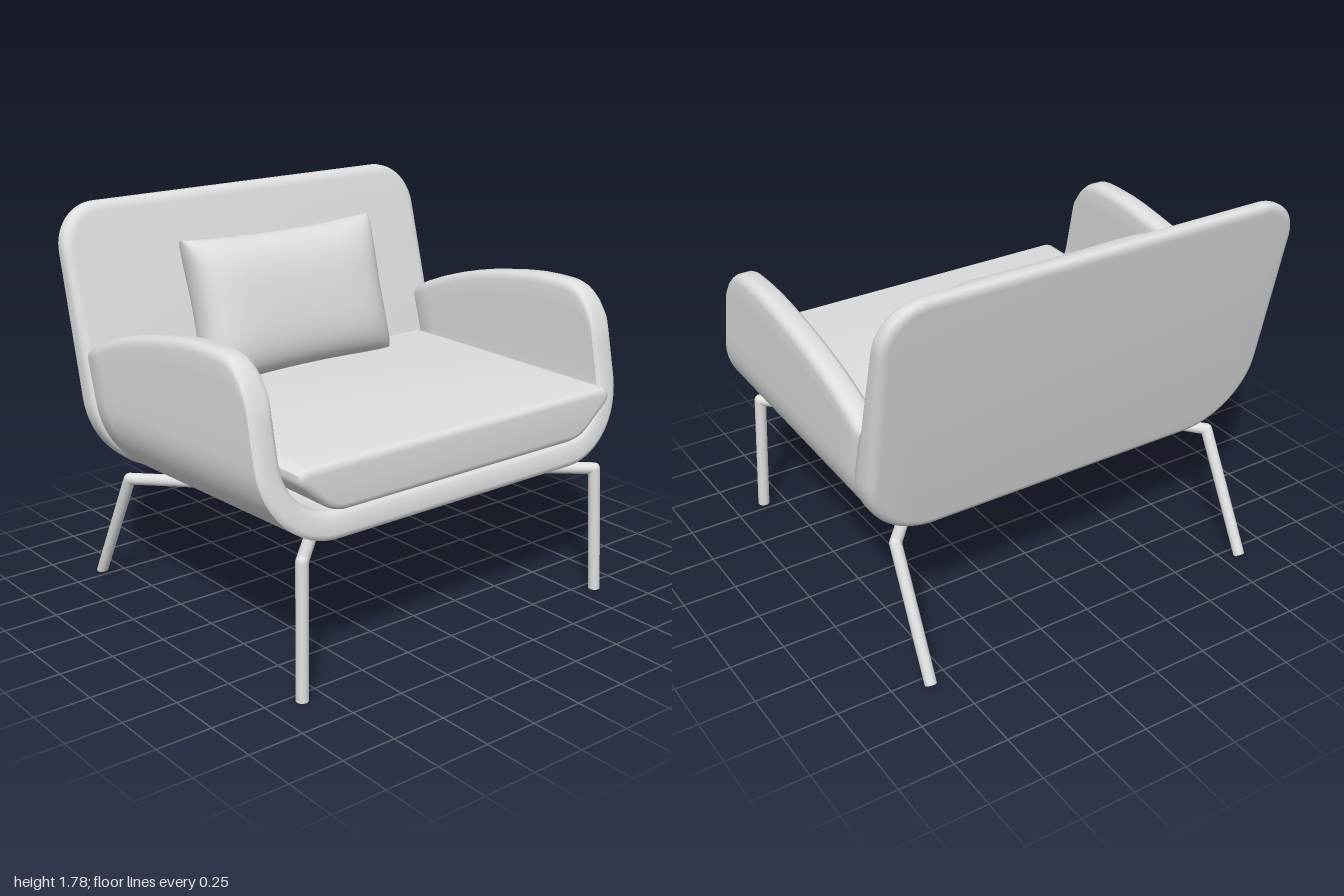
import * as THREE from 'three';
import { toCreasedNormals, mergeVertices } from 'three/addons/utils/BufferGeometryUtils.js';

const lerp = THREE.MathUtils.lerp;
const fabric = new THREE.MeshStandardMaterial({ color: 0xdedede });
fabric.name = 'lightGrey';

function add(parent, name, geometry) {
  const mesh = new THREE.Mesh(geometry, fabric);
  mesh.name = name;
  parent.add(mesh);
  return mesh;
}

// Moves every vertex by a rule
function warp(geometry, rule) {
  const p = geometry.attributes.position, v = new THREE.Vector3();
  for (let i = 0; i < p.count; i++) {
    rule(v.fromBufferAttribute(p, i));
    p.setXYZ(i, v.x, v.y, v.z);
  }
  return geometry;
}

// Slopes of the backrest's front face and of the arms' front edge
const backFront = y => -0.40 - (y - 0.6) * 0.285;
const armFront = y => 0.80 - (y - 0.65) * 0.21;

// Backrest: rounded panel, leaning back and thinner at the top
function backrestGeometry() {
  const b = 0.04, x = 1 - b, y0 = 0.6 + b, y1 = 1.78 - b, rt = 0.16, rb = 0.3;
  const s = new THREE.Shape();
  s.moveTo(-x + rb, y0);
  s.lineTo(x - rb, y0);
  s.absarc(x - rb, y0 + rb, rb, -Math.PI / 2, 0, false);
  s.lineTo(x, y1 - rt);
  s.absarc(x - rt, y1 - rt, rt, 0, Math.PI / 2, false);
  s.lineTo(-x + rt, y1);
  s.absarc(-x + rt, y1 - rt, rt, Math.PI / 2, Math.PI, false);
  s.lineTo(-x, y0 + rb);
  s.absarc(-x + rb, y0 + rb, rb, Math.PI, Math.PI * 1.5, false);
  const g = new THREE.ExtrudeGeometry(s, {
    depth: 0.04, bevelSize: b, bevelThickness: 0.04, bevelSegments: 5, curveSegments: 14,
  });
  warp(g, v => {
    const t = (v.z + 0.04) / 0.12;
    v.z = lerp(-0.565 - (v.y - 0.6) * 0.21, backFront(v.y), t);
  });
  return toCreasedNormals(g, 0.6);
}

// Shell: U-shaped rings swept from front to back, with the arm height varying
function shellGeometry() {
  // depth fraction, arm height, thickness factor
  const rings = [
    [0, 1.19, 0.55], [0.004, 1.22, 0.8], [0.014, 1.28, 1], [0.036, 1.34, 1], [0.055, 1.367, 1],
    [0.075, 1.385, 1], [0.1, 1.396, 1], [0.13, 1.402, 1], [0.2, 1.403, 1], [0.27, 1.4, 1],
    [0.35, 1.39, 1], [0.43, 1.375, 1], [0.54, 1.352, 1], [0.64, 1.325, 1], [0.73, 1.296, 1],
    [0.81, 1.265, 1], [0.91, 1.22, 1], [0.985, 1.178, 1], [1, 1.165, 0.8],
  ];
  const h = 0.056, R = 0.29, cx = 1 - h;
  const positions = [], index = [];
  let n = 0;
  for (const [u, top, factor] of rings) {
    const base = lerp(0.645, 0.605, u) + h;
    // Half of the centre line: x, y, normal x, normal y, half thickness
    const half = [];
    for (const [d, f] of [[0, 0.5], [0.008, 0.75], [0.02, 0.93], [0.04, 1]])
      half.push([cx, top - d, 1, 0, h * f]);
    for (let i = 1; i < 5; i++) half.push([cx, lerp(top - 0.04, base + R, i / 5), 1, 0, h]);
    for (let i = 0; i <= 12; i++) {
      const a = -i / 12 * Math.PI / 2, c = Math.cos(a), s = Math.sin(a);
      half.push([cx - R + R * c, base + R + R * s, c, s, h]);
    }
    const line = [...half, ...half.map(p => [-p[0], p[1], -p[2], p[3], p[4]]).reverse()];
    const put = (p, side) => {
      const o = p[4] * factor * side, y = p[1] + p[3] * o;
      positions.push(p[0] + p[2] * o, y, lerp(armFront(y), backFront(y), u));
    };
    line.forEach(p => put(p, 1));
    [...line].reverse().forEach(p => put(p, -1));
    n = line.length;
  }
  const m = 2 * n, last = (rings.length - 1) * m;
  for (let k = 0; k < rings.length - 1; k++)
    for (let i = 0; i < m; i++) {
      const a = k * m + i, b = k * m + (i + 1) % m;
      index.push(a, b, b + m, a, b + m, a + m);
    }
  // Front and back end faces
  for (let j = 0; j < n - 1; j++) {
    const o = j, p = j + 1, q = m - 2 - j, r = m - 1 - j;
    index.push(o, r, q, o, q, p);
    index.push(last + o, last + q, last + r, last + o, last + p, last + q);
  }
  const g = new THREE.BufferGeometry();
  g.setAttribute('position', new THREE.Float32BufferAttribute(positions, 3));
  g.setIndex(index);
  return toCreasedNormals(g, 0.7);
}

// Seat cushion: flat top, slanted lower sides
function cushionGeometry() {
  const b = 0.03, s = new THREE.Shape();
  s.moveTo(-0.62, 0.77 + b);
  s.lineTo(0.62, 0.77 + b);
  s.quadraticCurveTo(0.68, 0.80, 0.72, 0.835);
  s.lineTo(0.825, 0.925);
  s.quadraticCurveTo(0.85, 0.955, 0.81, 0.985 - b);
  s.lineTo(-0.81, 0.985 - b);
  s.quadraticCurveTo(-0.85, 0.955, -0.825, 0.925);
  s.lineTo(-0.72, 0.835);
  s.quadraticCurveTo(-0.68, 0.80, -0.62, 0.77 + b);
  const g = new THREE.ExtrudeGeometry(s, {
    depth: 1.22, bevelSize: b, bevelThickness: b, bevelSegments: 4, curveSegments: 6,
  });
  g.translate(0, 0, -0.43);
  return toCreasedNormals(g, 0.6);
}

// Pillow: swollen in the middle, with corners drawn outwards
function pillowGeometry() {
  let g = new THREE.BoxGeometry(2, 2, 2, 28, 24, 1);
  g.deleteAttribute('uv');
  g.deleteAttribute('normal');
  g = mergeVertices(g);
  warp(g, v => {
    const a = Math.sin(v.x * Math.PI / 2), b = Math.sin(v.y * Math.PI / 2);
    const swell = Math.pow(Math.max(0, (1 - Math.abs(a) ** 6) * (1 - Math.abs(b) ** 3)), 0.45);
    v.x = a * (0.5 + 0.03 * b * b);
    v.y = b * (0.315 + 0.02 * a * a);
    v.z = v.z * (0.012 + 0.14 * swell);
  });
  g.computeVertexNormals();
  return g;
}

// Round rod between two points, cut off level with the floor
function rod(parent, name, from, to, radius = 0.027) {
  const a = new THREE.Vector3(...from), b = new THREE.Vector3(...to);
  const dir = b.clone().sub(a), length = dir.length();
  const g = new THREE.CylinderGeometry(radius, radius, length, 16);
  g.applyQuaternion(new THREE.Quaternion().setFromUnitVectors(new THREE.Vector3(0, 1, 0), dir.normalize()));
  g.translate((a.x + b.x) / 2, (a.y + b.y) / 2, (a.z + b.z) / 2);
  warp(g, v => { v.y = Math.max(0, v.y); });
  add(parent, name, g);
}

export function createModel() {
  const model = new THREE.Group();
  model.name = 'armchair';
  add(model, 'backrest', backrestGeometry());
  add(model, 'armShell', shellGeometry());
  add(model, 'seatCushion', cushionGeometry());
  const pillow = add(model, 'pillow', pillowGeometry());
  pillow.position.set(0, 1.285, -0.41);
  pillow.rotation.x = -0.27;

  // Leg frame: one bent rod per side, joined by two crossbars
  const frame = new THREE.Group();
  frame.name = 'legFrame';
  model.add(frame);
  for (const s of [1, -1]) {
    const path = [
      [s * 0.85, 0, 0.80], [s * 0.83, 0.592, 0.78], [s * 0.585, 0.583, 0.53],
      [s * 0.585, 0.556, -0.24], [s * 0.83, 0.548, -0.52], [s * 0.84, 0, -0.80],
    ];
    const names = ['frontLeg', 'frontStrut', 'sideRail', 'rearStrut', 'rearLeg'];
    names.forEach((name, i) => rod(frame, name, path[i], path[i + 1]));
    for (let i = 1; i < 5; i++)
      add(frame, 'joint', new THREE.SphereGeometry(0.027, 16, 10)).position.set(...path[i]);
    // Pegs carrying the shell
    for (const [x, y, z] of [path[2], path[3]]) rod(frame, 'peg', [x, y, z], [x, 0.66, z], 0.025);
  }
  rod(frame, 'frontCrossbar', [-0.585, 0.583, 0.53], [0.585, 0.583, 0.53]);
  rod(frame, 'rearCrossbar', [-0.585, 0.556, -0.24], [0.585, 0.556, -0.24]);
  return model;
}
